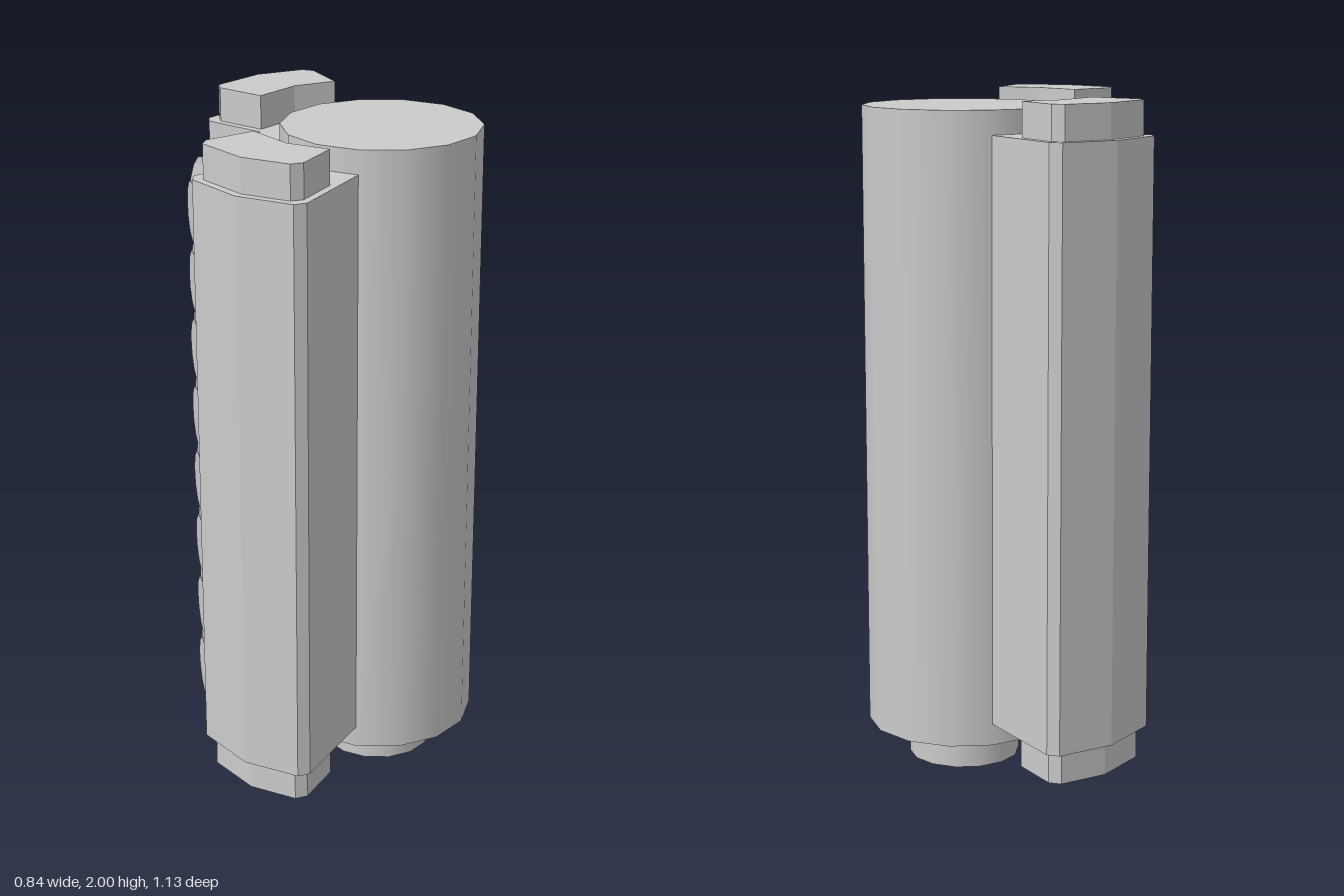
import * as THREE from 'three';
import { toCreasedNormals } from 'three/addons/utils/BufferGeometryUtils.js';

const material = new THREE.MeshStandardMaterial({ color: 0xcccccc });

function addMesh(parent, name, geometry) {
  const mesh = new THREE.Mesh(geometry, material);
  mesh.name = name;
  parent.add(mesh);
  return mesh;
}

// Upright prism from [x, z] corners between two heights
function prism(points, y0, y1) {
  const shape = new THREE.Shape(points.map(([x, z]) => new THREE.Vector2(x, -z)));
  return new THREE.ExtrudeGeometry(shape, { depth: y1 - y0, bevelEnabled: false })
    .rotateX(-Math.PI / 2)
    .translate(0, y0, 0);
}

// Upright 14-sided drum with a corner on the x axis
function drum(radius, y0, y1) {
  return new THREE.CylinderGeometry(radius, radius, y1 - y0, 14, 1, false, Math.PI / 2)
    .translate(0, (y0 + y1) / 2, 0);
}

const mirror = (points) => points.map(([x, z]) => [x, -z]);

export function createModel() {
  const model = new THREE.Group();
  model.name = 'engine';

  // Everything is laid out symmetrically around the crank axis, then turned slightly
  const body = new THREE.Group();
  body.name = 'engineBody';
  body.position.set(0.135, 0, -0.01);
  body.rotation.y = 0.039;
  model.add(body);

  // Crankcase and output hub
  addMesh(body, 'crankcase', drum(0.29, 0.11, 1.97));
  addMesh(body, 'outputHub', drum(0.167, 0, 0.12));

  // Block with two angled banks and a shallow ridge in the valley
  const bank = [
    [-0.065, 0.283], [-0.197, 0.553], [-0.232, 0.567], [-0.39, 0.49],
    [-0.514, 0.335], [-0.512, 0.295], [-0.355, 0.172],
  ];
  const outline = [...bank, [-0.39, 0], ...mirror(bank).reverse()];
  addMesh(body, 'cylinderBlock', prism(outline, 0.175, 1.9));

  // Head covers running through each bank and standing out at both ends
  const cover = [
    [-0.353, 0.201], [-0.258, 0.325], [-0.14, 0.385], [-0.206, 0.522],
    [-0.241, 0.536], [-0.374, 0.471], [-0.484, 0.336], [-0.477, 0.297],
  ];
  addMesh(body, 'frontHeadCover', prism(cover, 0.08, 2));
  addMesh(body, 'backHeadCover', prism(mirror(cover), 0.08, 2));

  // Intake trumpets: runner, flared mouth with closed face, square flange
  const profile = [[0, -0.175], [0.05, -0.175], [0.06, -0.045], [0.088, 0], [0, 0]]
    .map(([r, y]) => new THREE.Vector2(r, y));
  const trumpetGeometry = toCreasedNormals(new THREE.LatheGeometry(profile, 12), 0.6);
  const flangeGeometry = new THREE.BoxGeometry(0.18, 0.015, 0.18).translate(0, -0.125, 0);

  for (const side of [1, -1]) {
    for (let i = 0; i < 8; i++) {
      const intake = new THREE.Group();
      intake.name = side > 0 ? 'frontIntake' : 'backIntake';
      intake.position.set(-0.534, 0.3 + i * 0.207, side * 0.129);
      intake.rotation.set(0, side * 0.225, Math.PI / 2);
      addMesh(intake, 'trumpet', trumpetGeometry);
      addMesh(intake, 'flange', flangeGeometry);
      body.add(intake);
    }
  }

  return model;
}
